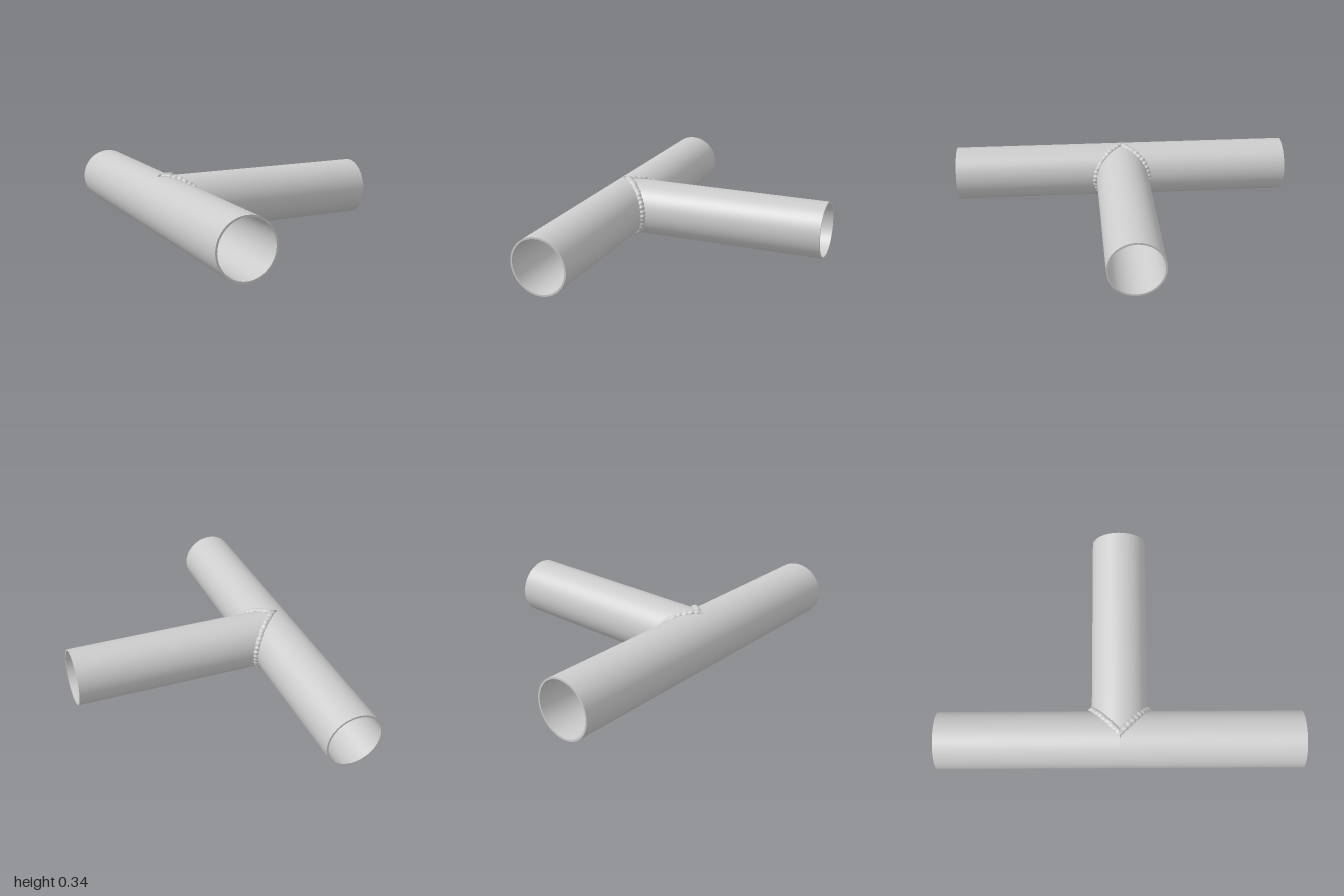
import * as THREE from 'three';
import { ParametricGeometry } from 'three/addons/geometries/ParametricGeometry.js';

const OUTER = 0.157, INNER = 0.147, SEGMENTS = 96;

export function createModel() {
  const model = new THREE.Group();
  const material = new THREE.MeshStandardMaterial({ color: 0xcccccc, side: THREE.DoubleSide });

  // Open tube along +y whose lower end is trimmed to the joint
  function tube(radius, length, trim) {
    const geometry = new THREE.CylinderGeometry(radius, radius, 1, SEGMENTS, 1, true);
    const p = geometry.attributes.position;
    for (let i = 0; i < p.count; i++) {
      p.setY(i, p.getY(i) > 0 ? length : trim(p.getX(i), p.getZ(i)));
    }
    return new THREE.Mesh(geometry, material);
  }

  // Hollow pipe arm: outer wall, bore and rim
  function arm(name, length, trim) {
    const group = new THREE.Group();
    group.name = name;
    const wall = tube(OUTER, length, trim);
    wall.name = 'outerWall';
    const bore = tube(INNER, length, trim);
    bore.name = 'bore';
    const rim = new THREE.Mesh(new THREE.RingGeometry(INNER, OUTER, SEGMENTS), material);
    rim.name = 'rim';
    rim.rotation.x = -Math.PI / 2;
    rim.position.y = length;
    group.add(wall, bore, rim);
    model.add(group);
    return group;
  }

  // Straight run, in two halves cut open on the branch side
  const saddle = (x) => Math.max(0, x);
  arm('frontRunPipe', 1, saddle).rotation.x = Math.PI / 2;
  arm('backRunPipe', 1, saddle).rotation.x = -Math.PI / 2;

  // Branch with a fish-mouth end
  arm('branchPipe', 1.193, (x, z) => Math.abs(z)).rotation.z = -Math.PI / 2;

  // Rippled weld bead, one half on each side of the branch
  for (const side of [1, -1]) {
    const bead = new ParametricGeometry((u, v, target) => {
      const t = -0.12 + u * (Math.PI + 0.24);
      const a = v * Math.PI * 2;
      const sin = Math.sin(t), cos = Math.cos(t);
      // outward direction within the mitre plane
      const len = Math.hypot(sin / Math.SQRT2, cos);
      const na = sin / Math.SQRT2 / len, nb = cos / len;
      const ripple = 1 + 0.1 * Math.sin(t * 44 + 1.2 * Math.cos(a)) + 0.06 * Math.sin(t * 17 + 2 * a);
      const out = Math.max(-0.006, (0.012 + 0.009 * Math.abs(sin)) * ripple * Math.cos(a));
      const across = 0.018 * ripple * Math.sin(a);
      const z = OUTER * sin + (out * na - across) / Math.SQRT2;
      target.set(
        OUTER * sin + (out * na + across) / Math.SQRT2,
        OUTER * cos + out * nb,
        side * Math.max(0, z)
      );
    }, 180, 14);
    const weld = new THREE.Mesh(bead, material);
    weld.name = side > 0 ? 'frontWeld' : 'backWeld';
    model.add(weld);
  }

  model.position.set(-0.518, 0.171, 0);
  const root = new THREE.Group();
  root.name = 'pipeTee';
  root.add(model);
  return root;
}
